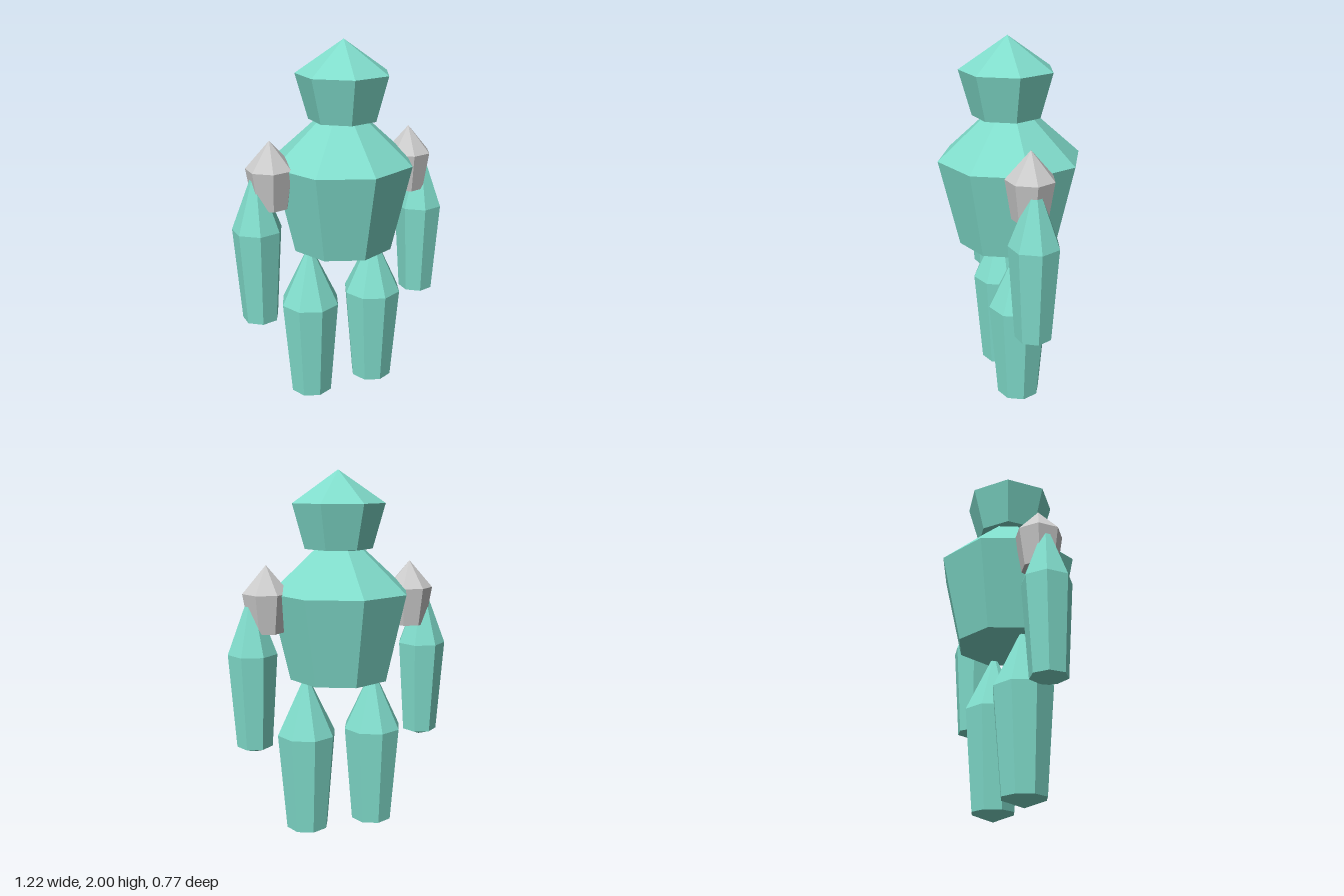
import * as THREE from 'three';

const teal = new THREE.MeshStandardMaterial({ color: 0x80dccb, flatShading: true });
const grey = new THREE.MeshStandardMaterial({ color: 0xcccccc, flatShading: true });

// Faceted gem: bottom tip, narrow lower ring, wide upper ring, top tip.
// The first corner of each ring points to +x.
function gem(name, sides, [bottom, lowY, highY, top], [lowR, highR], x, z, material) {
  const profile = [[0, bottom], [lowR, lowY], [highR, highY], [0, top]]
    .map(([r, y]) => new THREE.Vector2(r, y));
  const geometry = new THREE.LatheGeometry(profile, sides);
  geometry.rotateY(Math.PI / 2);
  const mesh = new THREE.Mesh(geometry, material);
  mesh.name = name;
  mesh.position.set(x, 0, z);
  return mesh;
}

export function createModel() {
  const model = new THREE.Group();
  model.name = 'gemFigure';

  // Head and torso
  model.add(gem('head', 7, [1.575, 1.595, 1.83, 2], [0.184, 0.25], -0.002, 0.013, teal));
  model.add(gem('torso', 8, [0.865, 0.9, 1.37, 1.715], [0.277, 0.385], -0.005, 0, teal));

  // Limbs, all with the same corner direction on both sides
  for (const [side, legX, armX, shoulderX] of [
    ['left', 0.185, 0.475, 0.395],
    ['right', -0.2, -0.49, -0.41],
  ]) {
    model.add(gem(side + 'Leg', 8, [0, 0.045, 0.59, 0.93], [0.118, 0.163], legX, 0, teal));
    model.add(gem(side + 'Arm', 7, [0.515, 0.553, 1.06, 1.405], [0.097, 0.132], armX, 0, teal));
    model.add(gem(side + 'Shoulder', 7, [1.155, 1.17, 1.375, 1.52], [0.094, 0.127], shoulderX, 0, grey));
  }

  return model;
}
